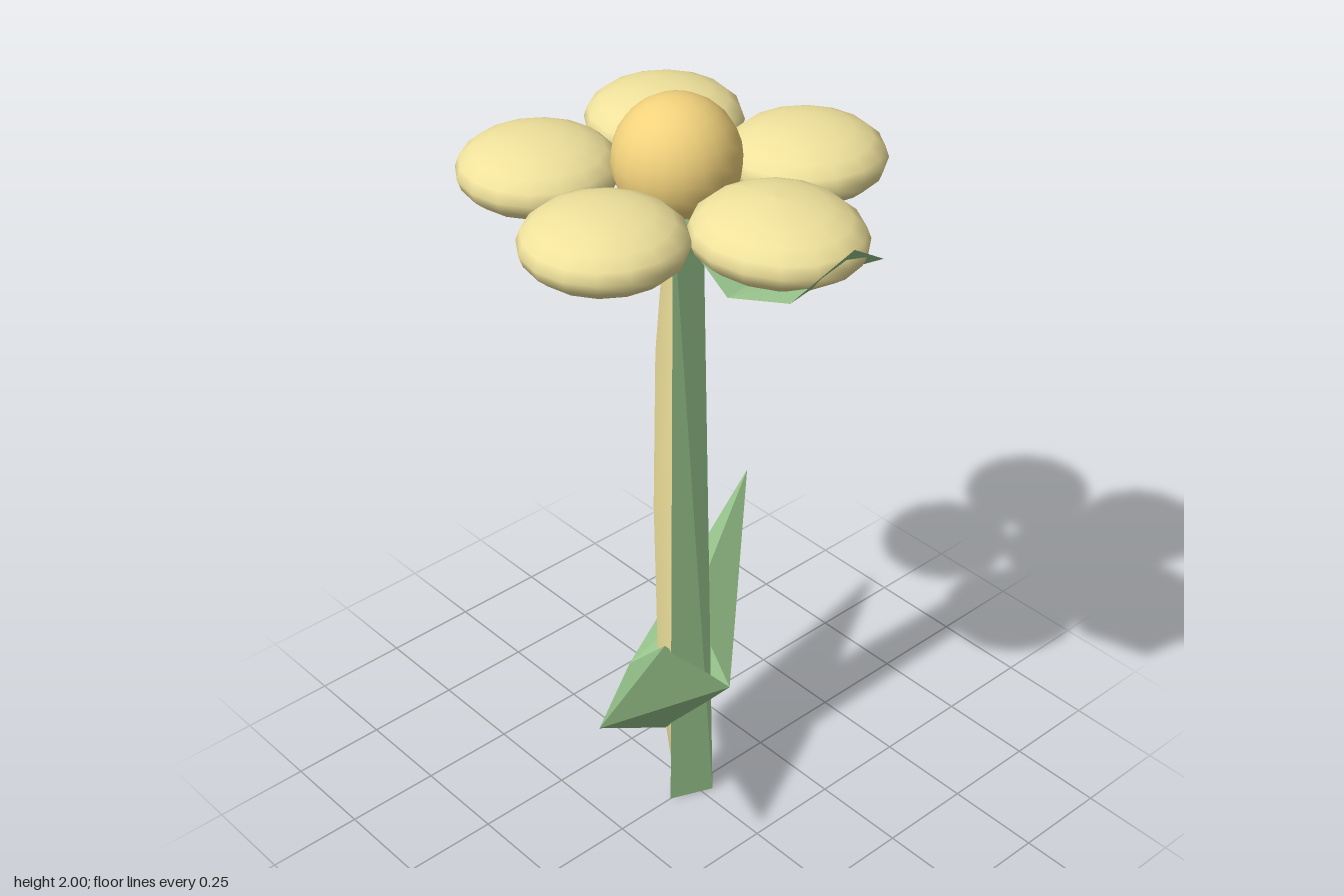
import * as THREE from 'three';

const petalMat = new THREE.MeshStandardMaterial({ color: 0xf0e29c, side: THREE.DoubleSide });
const centreMat = new THREE.MeshStandardMaterial({ color: 0xf2d27c });
const greenMat = new THREE.MeshStandardMaterial({ color: 0x98c48c, flatShading: true, side: THREE.DoubleSide });

function addMesh(parent, name, geometry, material) {
  const mesh = new THREE.Mesh(geometry, material);
  mesh.name = name;
  parent.add(mesh);
  return mesh;
}

// Indexed geometry from corner points and triangles
function facets(points, faces) {
  const g = new THREE.BufferGeometry();
  g.setAttribute('position', new THREE.Float32BufferAttribute(points.flat(), 3));
  g.setIndex(faces.flat());
  g.computeVertexNormals();
  return g;
}

// Skin stretched over rows of points, listed bottom to top
function loft(rows, closed) {
  const n = rows[0].length;
  const faces = [];
  for (let r = 0; r < rows.length - 1; r++) {
    for (let i = 0; i < (closed ? n : n - 1); i++) {
      const a = r * n + i, b = r * n + (i + 1) % n;
      faces.push([a, a + n, b], [b, a + n, b + n]);
    }
  }
  return facets(rows.flat(), faces);
}

export function createModel() {
  const model = new THREE.Group();
  model.name = 'flower';

  // Three-sided tapering stem
  const lerp = THREE.MathUtils.lerp;
  const section = (y) => {
    const t = y / 1.77;
    return [
      [0, y, lerp(0.08, 0.06, t)],
      [lerp(0.045, 0.012, t), y, lerp(-0.03, -0.02, t)],
      [-0.05, y, lerp(-0.1, -0.07, t)],
    ];
  };
  const stem = addMesh(model, 'stem', loft([section(0), section(1.77)], true), greenMat);
  addMesh(stem, 'stemBase', facets(section(0), [[0, 2, 1]]), greenMat);

  // Pale swelling along the left-hand face of the stem
  const swelling = [[0.04, -0.03], [0.25, -0.075], [0.45, -0.1], [0.9, -0.11], [1.35, -0.095], [1.55, -0.07], [1.7, -0.035]];
  const rows = swelling.map(([y, x]) => {
    const [front, , back] = section(y);
    return [front, [x * 0.86, y, 0.045], [x, y, 0], [x * 0.95, y, -0.05], back];
  });
  addMesh(model, 'stemFace', loft(rows, false), petalMat);

  // Two spiked leaves, one the other's half turn about the stem
  const leaf = facets(
    [
      [0.268, 0.635, 0.49], // tip
      [-0.123, 0.35, 0.065], [0.035, 0.24, 0.08], [0.123, 0.35, -0.065], [0.035, 0.515, 0.08],
      [0, 0.4, 0], // inner point
    ],
    [[0, 1, 2], [0, 2, 3], [0, 3, 4], [0, 4, 1], [5, 2, 1], [5, 3, 2], [5, 4, 3], [5, 1, 4]],
  );
  for (const [name, turn] of [['frontLeaf', 0], ['backLeaf', Math.PI]]) {
    const mesh = addMesh(model, name, leaf, greenMat);
    mesh.position.x = -0.053;
    mesh.rotation.y = turn;
  }

  // Sagging sepal below the long petal
  const ribs = [[0.0, 1.75, 0.05, 1.75], [0.09, 1.74, 0.14, 1.8], [0.265, 1.7, 0.14, 1.687], [0.455, 1.78, 0.14, 1.756], [0.5, 1.85, 0, 1.85]];
  addMesh(model, 'sepal', loft(ribs.map(([x, mid, w, side]) => [[x, side, -w], [x, mid, 0], [x, side, w]]), false), greenMat);

  // Five flattened petals, the one on +x drawn out
  const petal = new THREE.SphereGeometry(1, 16, 10);
  const places = [[0.05, 0.302], [0.05, -0.302], [-0.31, 0.19], [-0.31, -0.19]];
  places.forEach(([x, z], i) => {
    const mesh = addMesh(model, 'petal' + (i + 1), petal, petalMat);
    mesh.position.set(x, 1.795, z);
    mesh.scale.set(0.19, 0.085, 0.19);
  });
  const longGeo = petal.clone();
  const p = longGeo.attributes.position;
  for (let i = 0; i < p.count; i++) if (p.getX(i) > 0) p.setX(i, p.getX(i) * 1.2);
  longGeo.computeVertexNormals();
  const longPetal = addMesh(model, 'longPetal', longGeo, petalMat);
  longPetal.position.set(0.26, 1.795, 0);
  longPetal.scale.set(0.19, 0.085, 0.19);

  // Round flower centre
  const centre = addMesh(model, 'flowerCentre', new THREE.SphereGeometry(0.149, 20, 14), centreMat);
  centre.position.set(-0.053, 1.851, 0);

  return model;
}
